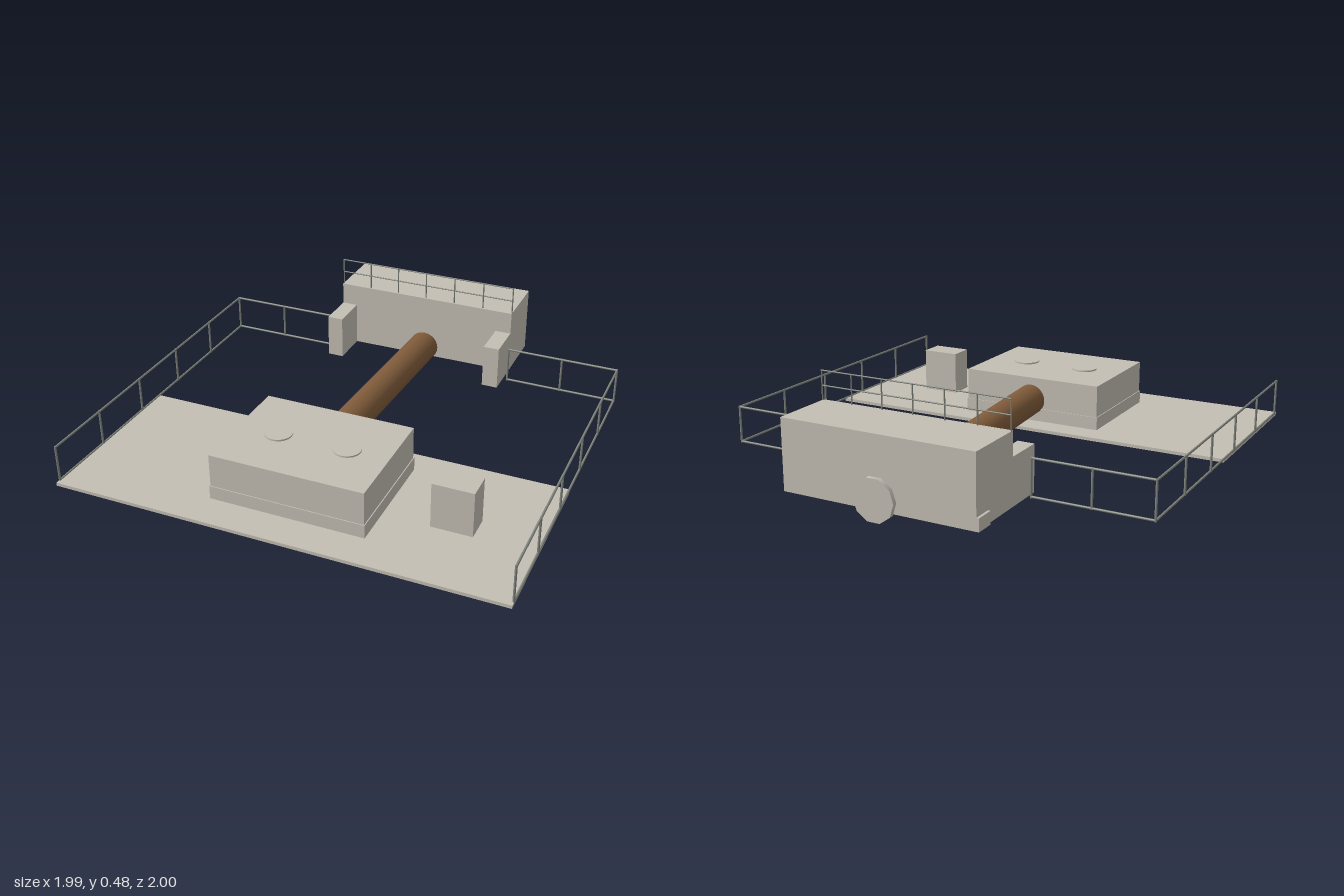
import * as THREE from 'three';

const concrete = new THREE.MeshStandardMaterial({ color: 0xc3beb4 });
concrete.name = 'concrete';
const rust = new THREE.MeshStandardMaterial({ color: 0x7f5b3a });
rust.name = 'rustyPipe';
const metal = new THREE.MeshStandardMaterial({ color: 0x80847b });
metal.name = 'railMetal';

function add(parent, name, geometry, material) {
  const mesh = new THREE.Mesh(geometry, material);
  mesh.name = name;
  parent.add(mesh);
  return mesh;
}

// Box given by its lower and upper limits on each axis
function box(parent, name, [x0, x1], [y0, y1], [z0, z1]) {
  const mesh = add(parent, name, new THREE.BoxGeometry(x1 - x0, y1 - y0, z1 - z0), concrete);
  mesh.position.set((x0 + x1) / 2, (y0 + y1) / 2, (z0 + z1) / 2);
  return mesh;
}

// Round bar between two points
function bar(parent, name, from, to, radius, sides, material) {
  const a = new THREE.Vector3(...from);
  const b = new THREE.Vector3(...to);
  const mesh = add(parent, name, new THREE.CylinderGeometry(radius, radius, a.distanceTo(b), sides), material);
  mesh.position.copy(a).add(b).multiplyScalar(0.5);
  mesh.quaternion.setFromUnitVectors(new THREE.Vector3(0, 1, 0), b.sub(a).normalize());
  return mesh;
}

// Straight run of railing from a to b (x, z) with evenly spaced posts
function railing(parent, name, a, b, bays, y0, y1, railHeights, radius) {
  const run = new THREE.Group();
  run.name = name;
  parent.add(run);
  for (let i = 0; i <= bays; i++) {
    const x = a[0] + (b[0] - a[0]) * i / bays;
    const z = a[1] + (b[1] - a[1]) * i / bays;
    bar(run, 'post', [x, y0, z], [x, y1, z], radius, 20, metal);
  }
  for (const y of railHeights) bar(run, 'rail', [a[0], y, a[1]], [b[0], y, b[1]], radius, 20, metal);
}

export function createModel() {
  const model = new THREE.Group();
  model.name = 'pumpStation';

  // Ground slab
  box(model, 'slab', [-0.99, 0.99], [0.04, 0.055], [0.202, 1]);

  // Front building on a slightly wider plinth, with two roof hatches
  box(model, 'plinth', [-0.344, 0.344], [0.055, 0.115], [0.316, 0.844]);
  box(model, 'frontBuilding', [-0.34, 0.34], [0.115, 0.262], [0.32, 0.84]);
  for (const x of [-0.155, 0.155]) {
    add(model, 'roofHatch', new THREE.CylinderGeometry(0.06, 0.06, 0.008, 16), concrete)
      .position.set(x, 0.265, 0.583);
  }

  // Utility cabinet
  box(model, 'cabinet', [0.55, 0.728], [0.055, 0.258], [0.553, 0.67]);

  // Back building with two forward wings and a small side box
  box(model, 'backBuilding', [-0.442, 0.442], [0.043, 0.353], [-0.98, -0.695]);
  for (const s of [-1, 1]) {
    const xs = [s * 0.367, s * 0.442].sort((p, q) => p - q);
    box(model, 'wing', xs, [0.043, 0.248], [-0.695, -0.514]);
  }
  box(model, 'sideBox', [-0.453, -0.442], [0.043, 0.098], [-0.98, -0.893]);

  // Ten-sided outlet cover on the back wall
  const cover = new THREE.CylinderGeometry(0.094, 0.094, 0.02, 10);
  cover.rotateY(Math.PI / 10).rotateX(Math.PI / 2);
  add(model, 'outletCover', cover, concrete).position.set(0, 0.09, -0.99);

  // Sloping pipe between the buildings
  bar(model, 'pipe', [0, 0.157, 0.33], [0, 0.094, -0.698], 0.071, 24, rust);

  // Perimeter railings, mirrored left and right
  for (const s of [-1, 1]) {
    const corner = [s * 0.988, -0.592];
    railing(model, 'sideRailing', [s * 0.988, 0.976], corner, 5, 0.05, 0.22, [0.216, 0.055], 0.005);
    railing(model, 'backRailing', corner, [s * 0.468, -0.592], 2, 0.05, 0.22, [0.216, 0.055], 0.005);
  }

  // Roof railing along the front edge of the back building
  railing(model, 'roofRailing', [-0.44, -0.706], [0.44, -0.706], 6, 0.352, 0.482, [0.48, 0.416], 0.003);

  return model;
}
